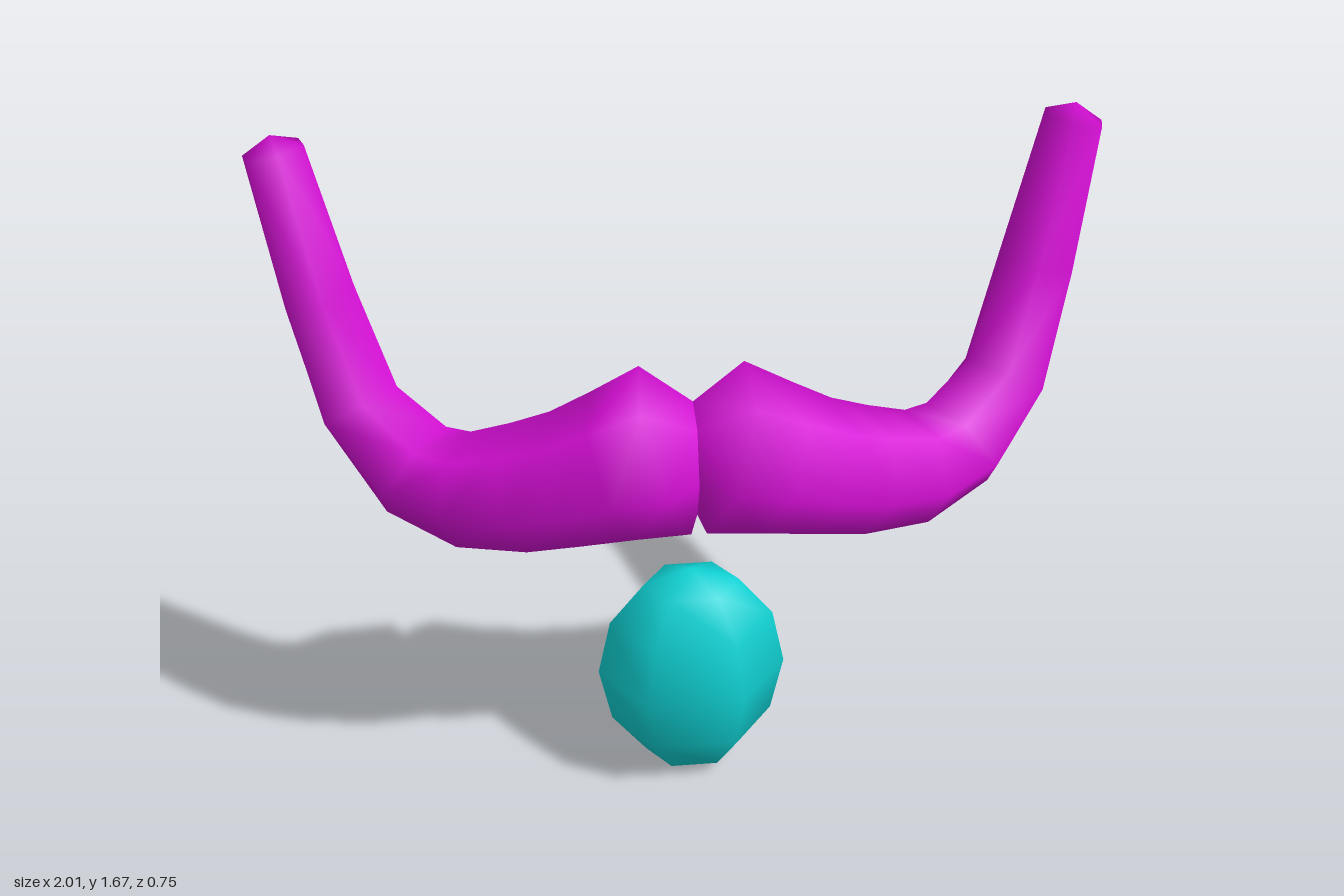
import * as THREE from 'three';

// Centre line of one half, seam to tip: x, y, z, depth radius, height radius
const SECTIONS = [
  [0, 1.04, 0.165, 0.117, 0.138],
  [0.07, 1.07, 0.17, 0.2, 0.205],
  [0.19, 1.03, 0.165, 0.178, 0.18],
  [0.3, 0.985, 0.145, 0.165, 0.16],
  [0.41, 0.945, 0.115, 0.153, 0.153],
  [0.54, 0.915, 0.07, 0.14, 0.138],
  [0.65, 0.93, 0, 0.13, 0.13],
  [0.775, 1.05, -0.105, 0.11, 0.11],
  [0.855, 1.3, -0.215, 0.097, 0.097],
  [0.93, 1.64, -0.29, 0.078, 0.078],
];
const TIP = [0.935, 1.675, -0.298];
const SIDES = 6;

// Hexagonal rings swept square to the centre line; side is 1 or -1
function halfGeometry(side) {
  const centres = SECTIONS.map(([x, y, z]) => new THREE.Vector3(x, y, z));
  const up = new THREE.Vector3(0, 1, 0);
  const last = centres.length - 1;
  const positions = [];
  const index = [];
  const face = (a, b, c) => (side > 0 ? index.push(a, b, c) : index.push(a, c, b));

  centres.forEach((centre, i) => {
    const from = centres[i < 2 ? i : i - 1];
    const tangent = centres[Math.min(i + 1, last)].clone().sub(from).normalize();
    if (i === 0) tangent.set(1, 0, 0); // flat against the other half
    const depth = tangent.clone().cross(up).normalize();
    const height = depth.clone().cross(tangent);
    const [, , , rd, rh] = SECTIONS[i];
    for (let j = 0; j < SIDES; j++) {
      const a = (j / SIDES) * Math.PI * 2;
      const p = centre.clone()
        .addScaledVector(depth, Math.cos(a) * rd)
        .addScaledVector(height, Math.sin(a) * rh);
      positions.push(p.x * side, p.y, p.z);
    }
  });
  positions.push(TIP[0] * side, TIP[1], TIP[2]);

  for (let i = 0; i <= last; i++) {
    for (let j = 0; j < SIDES; j++) {
      const a = i * SIDES + j;
      const b = i * SIDES + ((j + 1) % SIDES);
      if (i === last) {
        face(a, (last + 1) * SIDES, b); // pointed end
      } else {
        face(a, a + SIDES, b);
        face(b, a + SIDES, b + SIDES);
      }
    }
  }

  const geometry = new THREE.BufferGeometry();
  geometry.setAttribute('position', new THREE.Float32BufferAttribute(positions, 3));
  geometry.setIndex(index);
  geometry.computeVertexNormals();
  return geometry;
}

export function createModel() {
  const group = new THREE.Group();
  group.name = 'facialHair';

  const magenta = new THREE.MeshStandardMaterial({ color: 0xd60fd6 });
  magenta.name = 'magenta';
  const cyan = new THREE.MeshStandardMaterial({ color: 0x10d2d4 });
  cyan.name = 'cyan';

  // Moustache: two mirrored halves, turned very slightly
  const moustache = new THREE.Group();
  moustache.name = 'moustache';
  for (const side of [1, -1]) {
    const half = new THREE.Mesh(halfGeometry(side), magenta);
    half.name = side > 0 ? 'leftMoustache' : 'rightMoustache';
    moustache.add(half);
  }
  moustache.rotation.y = -0.016;
  group.add(moustache);

  // Chin tuft: six-sided ellipsoid
  const tuftGeometry = new THREE.SphereGeometry(1, 6, 6);
  tuftGeometry.scale(0.235, 0.314, 0.171);
  const tuft = new THREE.Mesh(tuftGeometry, cyan);
  tuft.name = 'chinTuft';
  tuft.position.set(0, 0.316, 0.057);
  group.add(tuft);

  return group;
}
